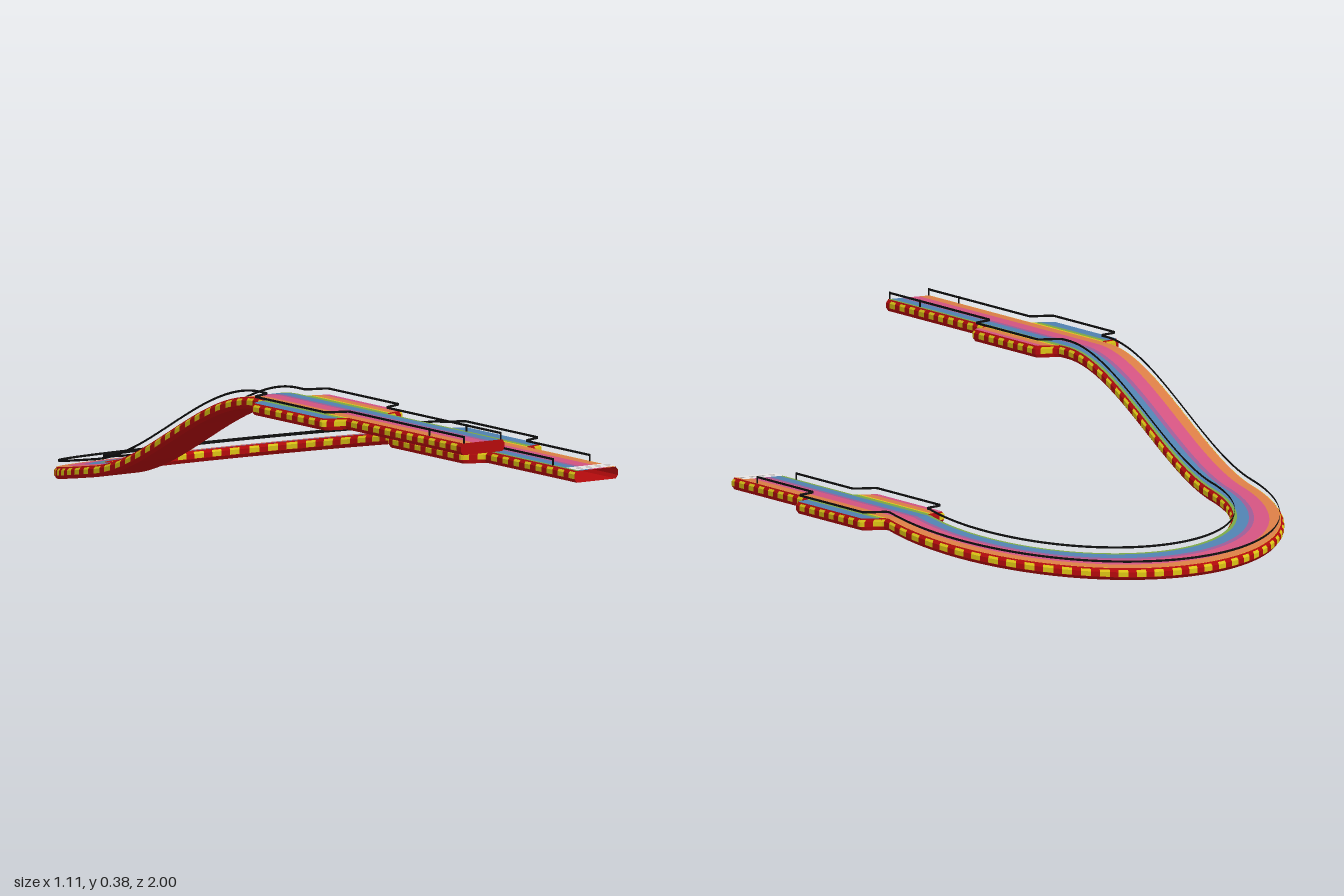
import * as THREE from 'three';

const mat = (name, color) => {
  const m = new THREE.MeshStandardMaterial({ color, side: THREE.DoubleSide });
  m.name = name;
  return m;
};
const M = {
  red: mat('red', 0xb40a0c),
  yellow: mat('yellow', 0xdcc414),
  orange: mat('orange', 0xd87c45),
  pink: mat('pink', 0xd0527f),
  purple: mat('purple', 0x9a5a94),
  blue: mat('blue', 0x4f80ae),
  green: mat('green', 0x78a444),
  white: mat('white', 0xe6e4e2),
  grey: mat('grey', 0xa8a4a4),
  black: mat('black', 0x101010),
};

// Path: high straight with a ramp, tilted half circle, low straight
const R = 0.438, HALF = 0.062, ARC = R * Math.PI, U1 = 1.5, U2 = U1 + ARC, END = U2 + 0.72;
const LOW = 0.113, HIGH = 0.36, TILT = 0.17, THICK = 0.028, BEVEL = 0.006;

function rampHeight(z) {
  const t = THREE.MathUtils.clamp((0.17 - z) / 0.67, 0, 1);
  const s = t * t * (3 - 2 * t);
  return HIGH + (LOW - HIGH) * s - TILT * 0.67 * (t * t * t - t * t);
}

// u runs along the track, s outward across it, dy above the deck
function point(u, s, dy) {
  if (u <= U1) return [-R - s, rampHeight(1 - u) + dy, 1 - u];
  if (u >= U2) return [R + s, LOW + dy, -0.5 + u - U2];
  const a = (u - U1) / R, r = R + s, z = -0.5 - r * Math.sin(a);
  return [-r * Math.cos(a), LOW + TILT * (z + 0.5) + dy, z];
}

// Two wider stretches with rounded shoulders
const WIDE = [[0.465, 0.805], [U2 + 0.01, U2 + 0.36]];
const { smootherstep } = THREE.MathUtils;
function halfWidth(u) {
  let w = HALF;
  for (const [a, b] of WIDE) w += 0.053 * smootherstep(u, a, a + 0.03) * (1 - smootherstep(u, b - 0.03, b));
  return w;
}

function range(a, b, step) {
  const n = Math.max(1, Math.ceil((b - a) / step));
  return Array.from({ length: n + 1 }, (_, i) => a + (b - a) * i / n);
}
const stations = range(0, U1, 0.005).concat(range(U1, U2, 0.015).slice(1), range(U2, END, 0.005).slice(1));

// Sweep an open profile of [s, dy] points along the path
function sweep(pos, us, profile) {
  for (let i = 0; i < us.length - 1; i++) {
    const p = profile(us[i]), q = profile(us[i + 1]);
    for (let j = 0; j < p.length - 1; j++) {
      if (p[j][0] === p[j + 1][0] && p[j][1] === p[j + 1][1] && q[j][0] === q[j + 1][0]) continue;
      const a = point(us[i], ...p[j]), b = point(us[i + 1], ...q[j]);
      const c = point(us[i + 1], ...q[j + 1]), d = point(us[i], ...p[j + 1]);
      pos.push(...a, ...b, ...c, ...a, ...c, ...d);
    }
  }
}

function mesh(name, pos, material) {
  const g = new THREE.BufferGeometry();
  g.setAttribute('position', new THREE.Float32BufferAttribute(pos, 3));
  g.computeVertexNormals();
  const m = new THREE.Mesh(g, material);
  m.name = name;
  return m;
}

export function createModel() {
  const group = new THREE.Group();
  group.name = 'rainbowTrack';

  // Hollow trough under the deck, closed at the high end and open at the low end
  const body = [];
  const trough = (u) => {
    const w = halfWidth(u), i = w - BEVEL;
    return [[i, 0], [w, -0.008], [w, -0.02], [i, -THICK], [-i, -THICK], [-w, -0.02], [-w, -0.008], [-i, 0]];
  };
  sweep(body, stations, trough);
  const rim = trough(0).map((v) => point(0, ...v));
  for (let j = 1; j < rim.length - 1; j++) body.push(...rim[0], ...rim[j], ...rim[j + 1]);
  group.add(mesh('roadBody', body, M.red));

  // Lengthwise rainbow lanes form the deck and repeat across the wide stretches
  const bands = [
    [0.11, 0.12, 'purple'], [0.076, 0.11, 'blue'], [0.062, 0.076, 'green'], [0.055, 0.062, 'yellow'],
    [0.028, 0.055, 'orange'], [-0.008, 0.028, 'pink'], [-0.02, -0.008, 'purple'],
    [-0.048, -0.02, 'blue'], [-0.064, -0.048, 'green'], [-0.071, -0.064, 'yellow'],
    [-0.094, -0.071, 'orange'], [-0.12, -0.094, 'pink'],
  ];
  for (const [a, b, color] of bands) {
    const lane = [];
    sweep(lane, stations, (u) => {
      const i = halfWidth(u) - BEVEL;
      return [a, b].map((s) => [THREE.MathUtils.clamp(s, -i, i), 0]);
    });
    group.add(mesh(color + 'Lane', lane, M[color]));
  }

  // Yellow lights evenly spaced along both edges, measured on the edge itself
  const fine = range(0, END, 0.003);
  for (const side of [-1, 1]) {
    const lights = [];
    const strip = (u) => {
      const w = halfWidth(u);
      const p = [[w - 0.003, -0.003], [w + 0.001, -0.008], [w + 0.001, -0.019]];
      return side > 0 ? p : p.reverse().map(([s, y]) => [-s, y]);
    };
    let run = 0.03;
    for (let i = 0; i < fine.length - 1; i++) {
      const [a, b] = [fine[i], fine[i + 1]].map((u) => new THREE.Vector3(...point(u, side * halfWidth(u), 0)));
      if (run % 0.045 < 0.024) sweep(lights, [fine[i], fine[i + 1]], strip);
      run += a.distanceTo(b);
    }
    group.add(mesh(side > 0 ? 'outerLights' : 'innerLights', lights, M.yellow));
  }

  // Thin rails floating above the edges, with a few upright posts
  const railEnd = U2 + 0.62;
  for (const side of [-1, 1]) {
    const rail = [];
    const ribbon = (lo, hi, shift = 0) => (u) => {
      const s = side * (halfWidth(u) - 0.009) + shift;
      return [[s, hi], [s, lo]];
    };
    sweep(rail, stations.filter((u) => u <= railEnd), ribbon(0.012, 0.0175));
    for (const u of [0, 0.14, railEnd - 0.003]) {
      for (const shift of [-0.0015, 0.0015]) sweep(rail, [u, u + 0.003], ribbon(0, 0.0175, shift));
      const s = side * (halfWidth(u) - 0.009);
      const [a, b, c, d] = [[-1, 0], [1, 0], [1, 0.0175], [-1, 0.0175]].map(([k, y]) => point(u, s + k * 0.0015, y));
      rail.push(...a, ...b, ...c, ...a, ...c, ...d);
    }
    group.add(mesh(side > 0 ? 'outerRail' : 'innerRail', rail, M.black));
  }

  // Chequered line at the low end
  const checks = { white: [], grey: [] };
  const cols = 8, rows = 3, cell = 0.11 / cols;
  for (let r = 0; r < rows; r++) {
    for (let c = 0; c < cols; c++) {
      const u = END - 0.045 + r * 0.015, s = -0.055 + c * cell;
      const key = r % 2 === 1 && c % 2 === 1 ? 'grey' : 'white';
      sweep(checks[key], [u, u + 0.015], () => [[s, 0.002], [s + cell, 0.002]]);
    }
  }
  for (const key in checks) group.add(mesh(key + 'LineChecks', checks[key], M[key]));

  return group;
}
